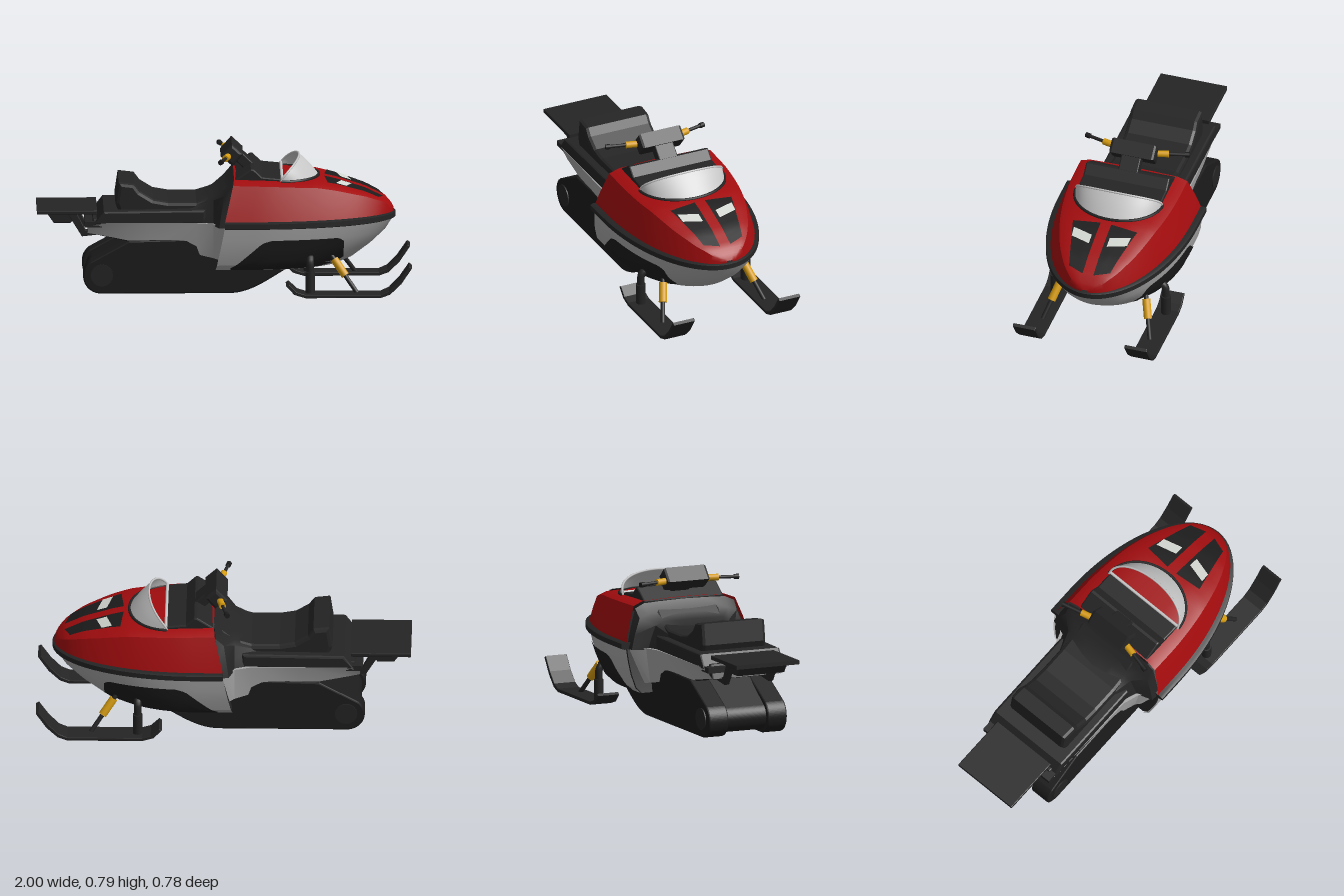
import * as THREE from 'three';
import { toCreasedNormals } from 'three/addons/utils/BufferGeometryUtils.js';

const V = (x, y, z) => new THREE.Vector3(x, y, z);
const mat = (name, color) => new THREE.MeshStandardMaterial({ name, color, side: THREE.DoubleSide });

// Linear interpolation in a list of [key, value...] rows
function lerpRows(rows, k, col = 1) {
  for (let i = 1; i < rows.length; i++) {
    const a = rows[i - 1], b = rows[i];
    if (k <= b[0]) {
      const t = Math.max(0, (k - a[0]) / (b[0] - a[0]));
      return a[col] + (b[col] - a[col]) * t;
    }
  }
  return rows[rows.length - 1][col];
}

// Surface through rings of points, optionally closed round and capped at both ends
function loft(rings, closed = false, capped = false) {
  const pos = [], tri = (a, b, c) => pos.push(...a.toArray(), ...b.toArray(), ...c.toArray());
  const n = rings[0].length;
  for (let i = 0; i + 1 < rings.length; i++) {
    for (let j = 0; j < (closed ? n : n - 1); j++) {
      const k = (j + 1) % n, [p, q] = [rings[i], rings[i + 1]];
      tri(p[j], p[k], q[k]);
      tri(p[j], q[k], q[j]);
    }
  }
  if (capped) [rings[0], rings[rings.length - 1]].forEach((r, e) => {
    const c = r.reduce((s, p) => s.add(p), V(0, 0, 0)).divideScalar(n);
    for (let j = 0; j < n; j++) {
      const k = (j + 1) % n;
      if (e) tri(c, r[j], r[k]); else tri(c, r[k], r[j]);
    }
  });
  const g = new THREE.BufferGeometry();
  g.setAttribute('position', new THREE.Float32BufferAttribute(pos, 3));
  return toCreasedNormals(g, 0.5);
}

// Side profile (points or a Shape) extruded to a width about z, with a small bevel inside the outline
function slab(profile, width, z = 0, bevel = 0.008) {
  const shape = Array.isArray(profile) ? new THREE.Shape(profile.map(p => new THREE.Vector2(...p))) : profile;
  const depth = width - 2 * bevel;
  const g = new THREE.ExtrudeGeometry(shape, { depth, bevelEnabled: bevel > 0, bevelSize: bevel,
    bevelThickness: bevel, bevelOffset: -bevel, bevelSegments: 2, curveSegments: 16 });
  return g.translate(0, 0, z - depth / 2);
}

function rod(a, b, r) {
  const d = b.clone().sub(a);
  const g = new THREE.CylinderGeometry(r, r, d.length(), 16);
  g.applyQuaternion(new THREE.Quaternion().setFromUnitVectors(V(0, 1, 0), d.clone().normalize()));
  const m = a.clone().add(b).multiplyScalar(0.5);
  return g.translate(m.x, m.y, m.z);
}

// Plan outline: straight sides from the rear, elliptical nose
const X0 = 0.15;
const outline = (y, w, nose, rear) => {
  const pts = [V(rear, y, w)];
  for (let i = 0; i <= 40; i++) {
    const a = Math.PI * i / 40;
    pts.push(V(X0 + (nose - X0) * Math.sin(a), y, w * Math.cos(a)));
  }
  return [...pts, V(rear, y, -w)];
};
const ellipseZ = (x, w, nose) => {
  const t = Math.max(0, (x - X0) / (nose - X0));
  return w * Math.sqrt(Math.max(0, 1 - t * t));
};

// Hull levels: y, half width, nose x, rear x
const hullRows = [[0.14, 0.3, 0.62, -0.05], [0.17, 0.33, 0.69, -0.043], [0.24, 0.35, 0.785, -0.028],
  [0.31, 0.36, 0.86, -0.014], [0.385, 0.366, 0.908, 0]];
// Hood ridge height along x, and its cross-section as [fraction of half width, fraction of height]
const ridge = [[0, 0.622], [0.25, 0.615], [0.5, 0.6], [0.6, 0.577], [0.75, 0.53], [0.85, 0.482], [0.89, 0.445], [0.905, 0.42]];
const section = [[0, 1.01], [0.33, 1.0], [0.68, 0.98], [0.83, 0.88], [0.93, 0.42], [1, 0]];
const hoodZ = x => ellipseZ(x, 0.36, 0.905);
const hoodY = (x, z) => 0.41 + (lerpRows(ridge, x) - 0.41) * lerpRows(section, Math.abs(z) / hoodZ(x));
const half = section.slice().reverse();
const archFractions = [...half, ...section.slice(1).map(([f, h]) => [-f, h])];

export function createModel() {
  const root = new THREE.Group();
  root.name = 'snowmobile';
  const black = mat('black plastic', 0x242424), rubber = mat('dark rubber', 0x1c1c1c);
  const red = mat('red paint', 0xa30c0e), grey = mat('grey paint', 0xa6a6a6);
  const clear = mat('pale windshield', 0xc6c6c6), yellow = mat('yellow metal', 0xd69c10);
  const lamp = mat('lamp glass', 0xd4d8d2);
  const add = (name, geometry, material) => {
    const m = new THREE.Mesh(geometry, material);
    m.name = name;
    root.add(m);
  };

  // Hull: grey skin over a dark core that closes the belly and rear
  add('hull', loft(hullRows.map(([y, w, n, r]) => outline(y, w, n, r))), grey);
  add('hullCore', loft(hullRows.map(([y, w, n, r]) => outline(y, w - 0.008, n - 0.008, r + 0.004)), true, true), black);
  add('bumperBand', loft([[0.373, 0.375], [0.378, 0.39], [0.405, 0.39], [0.411, 0.375]]
    .map(([y, w]) => outline(y, w, 0.525 + w, 0)), true, true), black);

  // Hood
  const hoodRings = [];
  for (let i = 0; i <= 30; i++) {
    const x = 0.904 * Math.sin(Math.PI / 2 * i / 30), b = hoodZ(x), h = lerpRows(ridge, x) - 0.41;
    const shear = 0.05 * Math.max(0, 1 - x / 0.3);
    hoodRings.push(archFractions.map(([f, s]) => V(x + shear * s, 0.41 + h * s, f * b)));
  }
  add('hood', loft(hoodRings), red);

  // Dark cowl running from the seat up to the rear of the hood: x, half width, top
  const cowl = [[-0.3, 0.215, 0.45], [-0.16, 0.225, 0.48], [-0.06, 0.262, 0.52], [-0.01, 0.345, 0.56], [0.035, 0.352, 0.612]];
  add('cowlBack', loft(cowl.map(([x, w, t], i) => archFractions.map(([f, s]) =>
    V(x + (i > 2 ? 0.03 * (s - 0.7) : 0), 0.375 + (t - 0.375) * s, f * w))), true, true), black);
  add('dash', slab([[0.05, 0.54], [0.05, 0.615], [0.14, 0.675], [0.155, 0.675], [0.2, 0.632], [0.31, 0.621], [0.31, 0.54]], 0.47), black);

  // Windshield with its base trim and rear rim
  const shield = [], trim = [];
  for (let i = 0; i <= 32; i++) {
    const a = Math.PI * (i / 32 - 0.5), c = Math.max(0, Math.cos(a)), s = Math.sin(a);
    shield.push([0, 0.33, 0.66, 1].map(t => V(0.3 + c * (0.2 - 0.1 * t),
      0.608 + 0.104 * Math.pow(c, 0.75) * (t + 0.25 * t * (1 - t)), 0.24 * s)));
    trim.push(V(0.3 + 0.205 * c, 0.607, 0.243 * s));
  }
  add('windshield', loft(shield), clear);
  add('windshieldRim', new THREE.TubeGeometry(new THREE.CatmullRomCurve3(shield.map(r => r[3])), 48, 0.006, 6), clear);
  add('windshieldBar', rod(V(0.306, 0.622, -0.235), V(0.306, 0.622, 0.235), 0.008), clear);
  add('windshieldTrim', new THREE.TubeGeometry(new THREE.CatmullRomCurve3(trim), 48, 0.008, 6), black);

  // Thin patch lying on the hood between four [x, z] corners
  const hoodPatch = (c, lift, side) => {
    const rings = [];
    for (let i = 0; i <= 10; i++) {
      const row = [];
      for (let j = 0; j <= 8; j++) {
        const u = i / 10, v = j / 8;
        const mix = k => (c[0][k] * (1 - u) + c[1][k] * u) * (1 - v) + (c[3][k] * (1 - u) + c[2][k] * u) * v;
        row.push(V(mix(0), hoodY(mix(0), mix(1)) + lift, side * mix(1)));
      }
      rings.push(row);
    }
    return loft(rings);
  };

  // Track body: rounded rear, ramped front
  const track = r => {
    const s = new THREE.Shape();
    s.moveTo(0.02, 0.095 - r);
    s.lineTo(-0.66, 0.095 - r);
    s.absarc(-0.66, 0.095, r, -Math.PI / 2, -4.1, true);
    s.lineTo(-0.51, 0.285);
    s.lineTo(0, 0.3);
    s.lineTo(0.36, 0.15);
    s.bezierCurveTo(0.25, 0.09, 0.15, 0.095 - r, 0.02, 0.095 - r);
    return s;
  };
  add('trackCentre', slab(track(0.075), 0.24, 0, 0), rubber);
  add('tunnel', slab([[-0.73, 0.325], [-0.7, 0.4], [0.02, 0.4], [0.02, 0.16], [-0.3, 0.23]], 0.4), black);

  // Parts repeated on both sides
  for (const side of [1, -1]) {
    add('headlightFrame', hoodPatch([[0.55, 0.18], [0.82, 0.115], [0.85, 0.03], [0.535, 0.03]], 0.006, side), rubber);
    add('headlightGlass', hoodPatch([[0.595, 0.16], [0.65, 0.155], [0.68, 0.05], [0.625, 0.05]], 0.009, side), lamp);

    // Dark suspension opening on the hull
    const well = [];
    for (let i = 0; i <= 30; i++) {
      const x = 0.03 + 0.605 * i / 30, row = [];
      const lo = lerpRows([[0.03, 0.143], [0.5, 0.143], [0.57, 0.16], [0.635, 0.19]], x);
      const hi = lerpRows([[0.03, 0.155], [0.07, 0.18], [0.2, 0.295], [0.25, 0.31], [0.61, 0.31], [0.635, 0.29]], x);
      for (let j = 0; j <= 6; j++) {
        const y = lo + (hi - lo) * j / 6;
        row.push(V(x, y, side * (ellipseZ(x, lerpRows(hullRows, y), lerpRows(hullRows, y, 2)) + 0.006)));
      }
      well.push(row);
    }
    add('suspensionOpening', loft(well), rubber);

    // Grey rear fender: x, lower y, lower z, upper y, upper z
    add('rearFender', loft([[-0.73, 0.325, 0.2, 0.36, 0.225], [-0.66, 0.315, 0.21, 0.385, 0.238],
      [-0.4, 0.263, 0.215, 0.385, 0.24], [-0.15, 0.213, 0.225, 0.385, 0.245], [-0.06, 0.195, 0.25, 0.385, 0.275], [0, 0.185, 0.3, 0.385, 0.345]]
      .map(([x, y, z, y2, z2]) => [V(x, y, side * z), V(x, y2, side * z2), V(x, y2, side * 0.15)])), grey);

    add('trackSide', slab(track(0.095), 0.115, side * 0.1725), rubber);
    add('trackWheel', rod(V(-0.655, 0.1, side * 0.2), V(-0.655, 0.1, side * 0.236), 0.06), black);

    // Ski, leg and shock absorber
    add('ski', slab([[0.325, 0.065], [0.37, 0.018], [0.43, 0], [0.83, 0], [0.88, 0.018], [0.94, 0.075], [0.997, 0.16],
      [0.982, 0.17], [0.93, 0.095], [0.875, 0.038], [0.83, 0.018], [0.43, 0.018], [0.385, 0.032], [0.34, 0.075]],
      0.126, side * 0.312, 0.003), black);
    add('skiLeg', rod(V(0.455, 0.01, side * 0.31), V(0.455, 0.13, side * 0.31), 0.026), black);
    add('skiElbow', new THREE.TubeGeometry(new THREE.CatmullRomCurve3([V(0.455, 0.12, side * 0.31),
      V(0.455, 0.19, side * 0.305), V(0.455, 0.21, side * 0.28), V(0.455, 0.215, side * 0.22)]), 16, 0.02, 12), black);
    const top = V(0.55, 0.235, side * 0.225), foot = V(0.705, 0.015, side * 0.3);
    const at = t => top.clone().lerp(foot, t);
    add('shockRod', rod(top, foot, 0.012), black);
    add('shockBody', rod(at(0.22), at(0.6), 0.022), yellow);

    // Handlebar half
    const bar = t => V(0.022 - 0.25 * (t - 0.11), 0.722, side * t);
    add('handlebar', rod(bar(0.11), bar(0.28), 0.009), black);
    add('handlebarClamp', rod(bar(0.11), bar(0.182), 0.018), yellow);
    add('handlebarEnd', rod(bar(0.265), bar(0.29), 0.014), rubber);

    add('rackStrut', slab([[-0.84, 0.425], [-0.79, 0.425], [-0.74, 0.33], [-0.67, 0.34], [-0.67, 0.305], [-0.76, 0.295]], 0.03, side * 0.13, 0.003), black);
  }

  // Seat and tail
  add('seat', slab([[-0.56, 0.42], [-0.582, 0.48], [-0.565, 0.595], [-0.48, 0.585], [-0.45, 0.545], [-0.38, 0.502],
    [-0.3, 0.488], [-0.15, 0.488], [-0.06, 0.515], [0.02, 0.58], [0.06, 0.62], [0.06, 0.42]], 0.38, 0, 0.02), black);
  add('seatBase', slab([[-0.7, 0.375], [-0.645, 0.448], [-0.1, 0.455], [-0.1, 0.375]], 0.475, 0, 0.012), black);
  add('tailTrim', new THREE.BoxGeometry(0.09, 0.03, 0.46).translate(-0.7, 0.375, 0), black);

  // Rear rack
  add('rackPlate', slab([[-1, 0.422], [-1, 0.444], [-0.68, 0.444], [-0.68, 0.422]], 0.375, 0, 0.004), black);
  add('rackFlap', slab([[-0.95, 0.425], [-0.91, 0.368], [-0.82, 0.368], [-0.78, 0.425]], 0.28, 0, 0.004), black);

  // Steering column and pad
  add('steeringColumn', slab([[0.03, 0.715], [0.08, 0.745], [0.19, 0.64], [0.14, 0.61]], 0.11, 0, 0.006), black);
  add('handlebarPad', slab([[-0.02, 0.722], [0.04, 0.79], [0.1, 0.735], [0.045, 0.668]], 0.254, 0, 0.015), black);
  return root;
}
